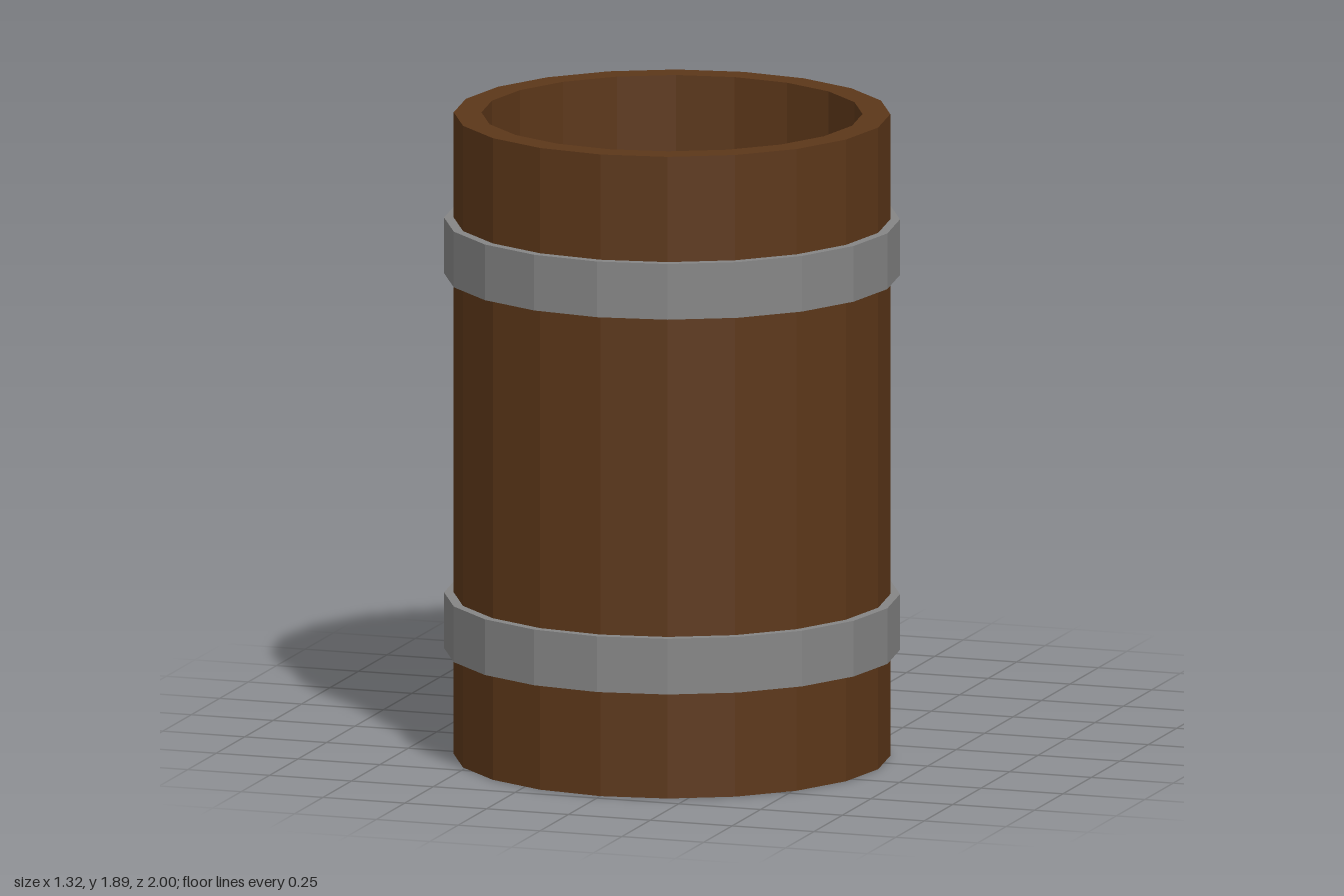
import * as THREE from 'three';

const SIDES = 20;
const CUP_Z = 0.34; // cup axis sits forward of the origin, the handle is behind
const material = (color) => new THREE.MeshStandardMaterial({ color, flatShading: true });

// Faceted solid of revolution around the cup axis, profile as [radius, height]
function lathe(name, profile, mat) {
  const points = profile.map(([r, y]) => new THREE.Vector2(r, y));
  const mesh = new THREE.Mesh(new THREE.LatheGeometry(points, SIDES), mat);
  mesh.name = name;
  mesh.position.z = CUP_Z;
  return mesh;
}

// Hand-carved handle: four-cornered sections joined in a loop
function handleGeometry() {
  // outer z, y | inner z, y | left and right x | sideways lean of the inner edge
  const sections = [
    [-0.24, 1.66, -0.24, 1.565, -0.18, 0.0, 0],
    [-0.29, 1.68, -0.29, 1.585, -0.195, -0.005, 0],
    [-0.49, 1.755, -0.49, 1.65, -0.255, -0.06, 0],
    [-0.745, 1.7, -0.715, 1.6, -0.215, -0.02, 0],
    [-0.955, 1.46, -0.835, 1.445, -0.255, -0.065, 0.04],
    [-1.0, 1.22, -0.865, 1.23, -0.255, -0.055, 0.045],
    [-0.74, 0.88, -0.7, 1.0, -0.25, -0.05, 0.02],
    [-0.29, 0.475, -0.29, 0.62, -0.195, -0.01, 0],
    [-0.24, 0.43, -0.24, 0.575, -0.18, -0.005, 0],
  ];
  const skew = 0.02; // the sections are turned slightly
  const positions = [];
  const index = [];
  sections.forEach(([zo, yo, zi, yi, xl, xr, lean], i) => {
    positions.push(
      xr, yo, zo,
      xl, yo, zo + skew,
      xl + lean, yi, zi + skew,
      xr + lean, yi, zi,
    );
    if (i === 0) return;
    for (let k = 0; k < 4; k++) {
      const a = (i - 1) * 4 + k;
      const b = (i - 1) * 4 + ((k + 1) % 4);
      index.push(a, a + 4, b + 4, a, b + 4, b);
    }
  });
  const geometry = new THREE.BufferGeometry();
  geometry.setAttribute('position', new THREE.Float32BufferAttribute(positions, 3));
  geometry.setIndex(index);
  geometry.computeVertexNormals();
  return geometry;
}

export function createModel() {
  const group = new THREE.Group();
  group.name = 'tankard';
  const wood = material(0x5c3719);
  const metal = material(0x858585);

  // Hollow wooden cup with a thick rim and floor
  const outer = 0.63, inner = 0.55, height = 1.89;
  group.add(lathe('cup', [
    [0, 0], [outer, 0], [outer, height], [inner, height], [inner, 0.1], [0, 0.1],
  ], wood));

  // Metal hoops
  [['lowerBand', 0.312, 0.476], ['upperBand', 1.416, 1.58]].forEach(([name, y0, y1]) => {
    group.add(lathe(name, [
      [outer - 0.02, y0], [0.658, y0], [0.658, y1], [outer - 0.02, y1],
    ], metal));
  });

  // Drink surface inside the cup
  const drink = new THREE.Mesh(new THREE.CircleGeometry(inner, SIDES), material(0xdf8926));
  drink.name = 'drink';
  drink.rotation.x = -Math.PI / 2;
  drink.position.set(0, 1.53, CUP_Z);
  group.add(drink);

  // Handle
  const handle = new THREE.Mesh(handleGeometry(), wood);
  handle.name = 'handle';
  group.add(handle);

  return group;
}
